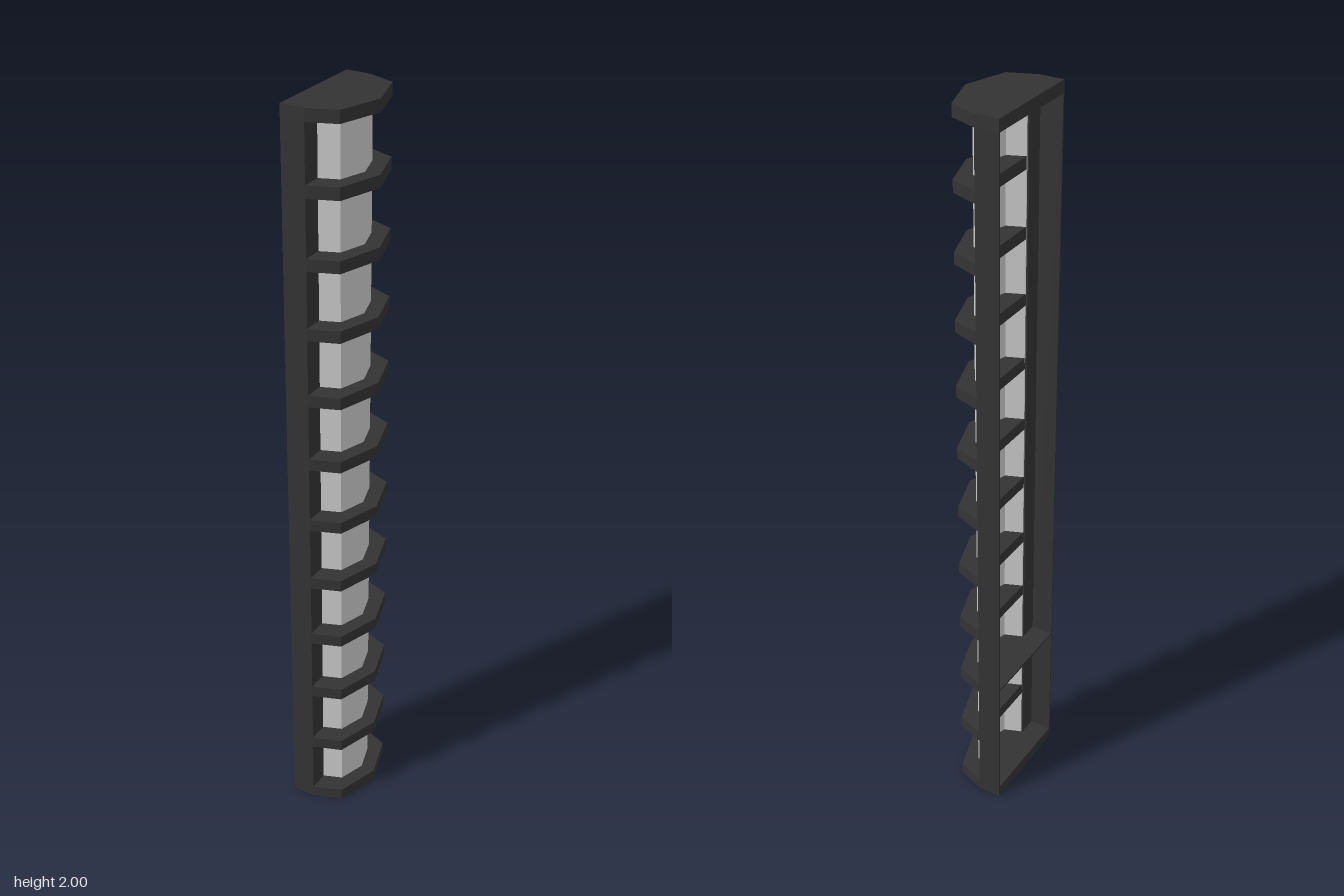
import * as THREE from 'three';

const dark = new THREE.MeshStandardMaterial({ color: 0x333333, flatShading: true, side: THREE.DoubleSide });
const pale = new THREE.MeshStandardMaterial({ color: 0xcccccc, flatShading: true, side: THREE.DoubleSide });

const HEIGHT = 2, PLATE = 0.032, RIBS = 12;
const BACK = -0.088, MID = -0.024, HALF = 0.145;

// Extrude an outline of [x, z] points upwards from y
function prism(name, points, y, height, material) {
  const shape = new THREE.Shape(points.map(([x, z]) => new THREE.Vector2(x, -z)));
  const geometry = new THREE.ExtrudeGeometry(shape, { depth: height, bevelEnabled: false });
  geometry.rotateX(-Math.PI / 2);
  const mesh = new THREE.Mesh(geometry, material);
  mesh.name = name;
  mesh.position.y = y;
  return mesh;
}

function box(name, x0, x1, y0, y1, z0, z1) {
  const mesh = new THREE.Mesh(new THREE.BoxGeometry(x1 - x0, y1 - y0, Math.abs(z1 - z0)), dark);
  mesh.position.set((x0 + x1) / 2, (y0 + y1) / 2, (z0 + z1) / 2);
  mesh.name = name;
  return mesh;
}

export function createModel() {
  const group = new THREE.Group();
  group.name = 'cagedWallLight';

  // Faceted nose shared by ribs and end plates
  const nose = [[MID, HALF], [0.051, 0.117], [0.088, 0], [0.051, -0.117], [MID, -HALF]];
  const full = [[BACK, HALF], ...nose, [BACK, -HALF]];

  // Guard ribs, with full-depth plates at both ends
  for (let i = 0; i < RIBS; i++) {
    const end = i === 0 || i === RIBS - 1;
    const y = (HEIGHT - PLATE) * i / (RIBS - 1);
    group.add(prism(end ? 'endPlate' : 'rib', end ? full : nose, y, PLATE, dark));
  }

  // Thin shelf bridging the open back of the housing
  const shelfY = (HEIGHT - PLATE) * 2 / (RIBS - 1) + PLATE;
  group.add(box('backShelf', BACK, MID, shelfY - 0.006, shelfY, -HALF, HALF));

  // Side walls and the front flanges beside the diffuser
  for (const s of [-1, 1]) {
    group.add(box('sideWall', BACK, MID, 0, HEIGHT, s * (HALF - 0.004), s * HALF));
    group.add(box('frontFlange', MID - 0.004, MID, 0, HEIGHT, s * 0.09, s * HALF));
  }

  // Hollow faceted diffuser, open towards the back
  const outer = [[MID, 0.091], [0.025, 0.072], [0.048, 0], [0.025, -0.072], [MID, -0.091]];
  const inner = [[MID, -0.087], [0.022, -0.069], [0.044, 0], [0.022, 0.069], [MID, 0.087]];
  group.add(prism('diffuser', [...outer, ...inner], PLATE, HEIGHT - 2 * PLATE, pale));

  return group;
}
